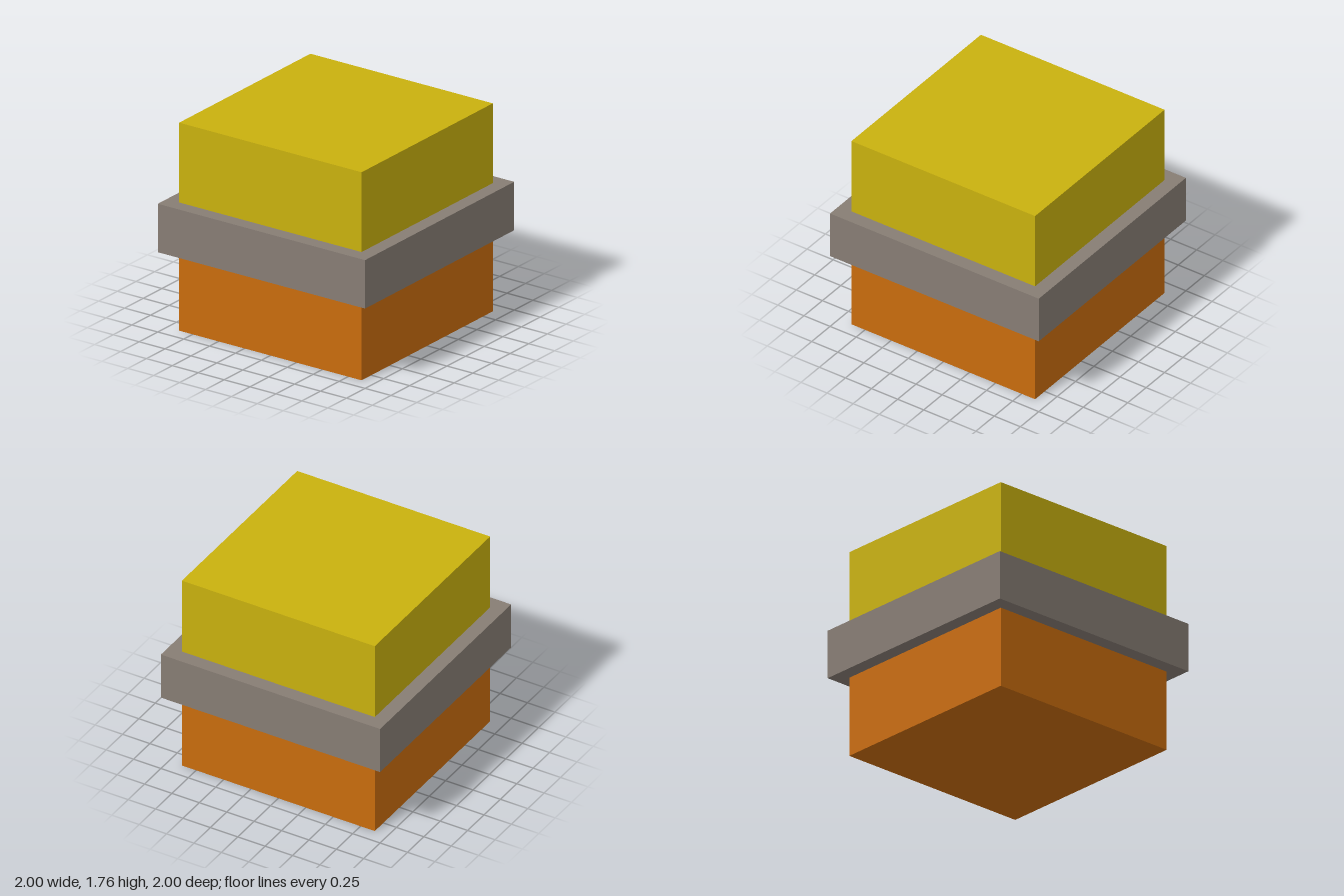
import * as THREE from 'three';

// Box standing on y = bottom, square in plan
function slab(name, width, bottom, top, color) {
  const mesh = new THREE.Mesh(
    new THREE.BoxGeometry(width, top - bottom, width),
    new THREE.MeshStandardMaterial({ color })
  );
  mesh.name = name;
  mesh.position.y = (bottom + top) / 2;
  return mesh;
}

export function createModel() {
  const model = new THREE.Group();
  model.name = 'bandedBlock';
  model.add(
    slab('lowerBlock', 1.76, 0, 0.675, 0xc96c0d),
    slab('middleBand', 2, 0.675, 1.085, 0x877d74), // wider collar between the blocks
    slab('upperBlock', 1.76, 1.085, 1.76, 0xc9b10e)
  );
  return model;
}
